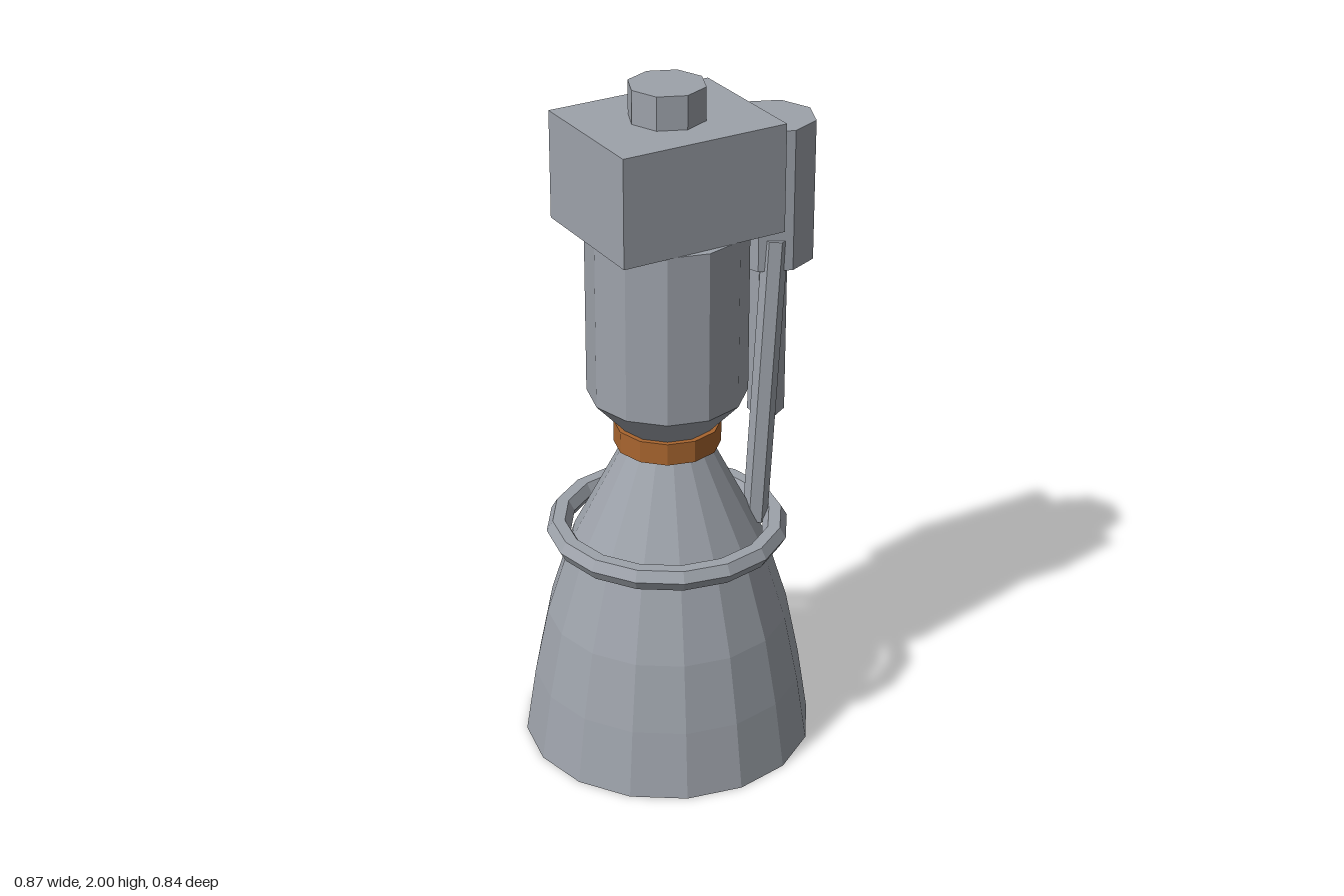
import * as THREE from 'three';

const AXIS_X = -0.017; // engine axis, offset by the side pump

export function createModel() {
  const root = new THREE.Group();
  root.name = 'rocketEngine';

  const material = (name, color, side = THREE.FrontSide) => {
    const m = new THREE.MeshStandardMaterial({ color, flatShading: true, side });
    m.name = name;
    return m;
  };
  const steel = material('steel grey', 0x9da2aa, THREE.DoubleSide);
  const copper = material('copper', 0xa8652f);

  const add = (name, geometry, mat, x, y, z = 0) => {
    const mesh = new THREE.Mesh(geometry, mat);
    mesh.name = name;
    mesh.position.set(x, y, z);
    root.add(mesh);
    return mesh;
  };

  // Upright faceted cylinder between two heights
  const drum = (name, mat, x, y0, y1, rBottom, rTop, sides, z = 0) =>
    add(name, new THREE.CylinderGeometry(rTop, rBottom, y1 - y0, sides), mat, x, (y0 + y1) / 2, z);

  // Open bell nozzle
  const bell = [[0.42, 0], [0.39, 0.2], [0.35, 0.4], [0.278, 0.63], [0.12, 0.94]]
    .map(([r, y]) => new THREE.Vector2(r, y));
  add('nozzleBell', new THREE.LatheGeometry(bell, 16), steel, AXIS_X, 0);

  // Coolant ring around the bell
  const ring = new THREE.TorusGeometry(0.3125, 0.035, 6, 16).rotateX(Math.PI / 2);
  add('coolantRing', ring, steel, AXIS_X, 0.667);

  // Throat collar and combustion chamber
  drum('throatCollar', copper, AXIS_X, 0.935, 1.0, 0.152, 0.152, 12);
  const chamber = [[0, 1.0], [0.137, 1.0], [0.226, 1.097], [0.226, 1.595], [0, 1.595]]
    .map(([r, y]) => new THREE.Vector2(r, y));
  add('combustionChamber', new THREE.LatheGeometry(chamber, 12), steel, AXIS_X, 0);

  // Head block and top cap
  add('headBlock', new THREE.BoxGeometry(0.497, 0.31, 0.406), steel, AXIS_X, 1.75);
  drum('topCap', steel, AXIS_X, 1.905, 2.0, 0.108, 0.108, 8);

  // Side pump with its exhaust pipe
  drum('sidePump', steel, 0.31, 1.435, 1.845, 0.127, 0.127, 8);
  drum('exhaustPipe', steel, 0.31, 0.952, 1.45, 0.053, 0.053, 6);

  // Slanted feed pipe from pump to ring
  const start = new THREE.Vector3(0.221, 0.66, 0.092);
  const end = new THREE.Vector3(0.273, 1.525, 0.092);
  const span = end.clone().sub(start);
  const mid = start.clone().add(end).multiplyScalar(0.5);
  const feed = add('feedPipe', new THREE.CylinderGeometry(0.036, 0.036, span.length(), 6), steel, mid.x, mid.y, mid.z);
  feed.rotation.z = -Math.atan2(span.x, span.y);

  return root;
}
